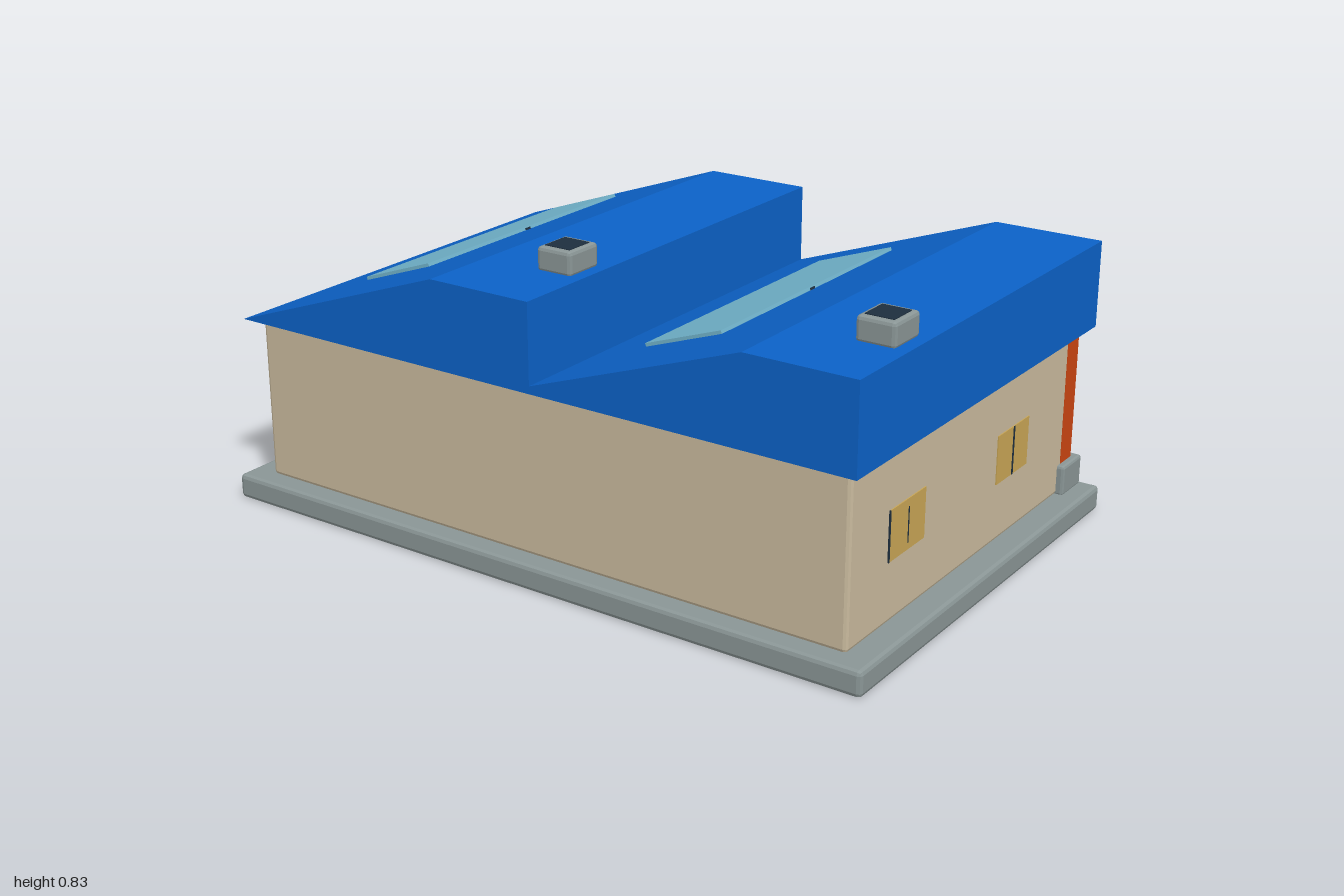
import * as THREE from 'three';
import { RoundedBoxGeometry } from 'three/addons/geometries/RoundedBoxGeometry.js';

const mat = (name, color) => {
  const m = new THREE.MeshStandardMaterial({ color });
  m.name = name;
  return m;
};

export function createModel() {
  const group = new THREE.Group();
  const blue = mat('roof blue', 0x0c62c8);
  const beige = mat('wall beige', 0xcabb9e);
  const grey = mat('concrete grey', 0x8a9696);
  const dark = mat('dark navy', 0x1e2f3f);
  const orange = mat('column orange', 0xcc4612);
  const gold = mat('warm gold', 0xc9a655);
  const glass = mat('skylight glass', 0x72b4cc);

  // Box given by its limits; bevel > 0 gives chamfered edges with flat faces
  function box(name, material, [x0, x1], [y0, y1], [z0, z1], bevel = 0) {
    const size = [x1 - x0, y1 - y0, z1 - z0];
    const geo = bevel ? new RoundedBoxGeometry(...size, 1, bevel) : new THREE.BoxGeometry(...size);
    if (bevel) geo.computeVertexNormals();
    const mesh = new THREE.Mesh(geo, material);
    mesh.name = name;
    mesh.position.set((x0 + x1) / 2, (y0 + y1) / 2, (z0 + z1) / 2);
    group.add(mesh);
    return mesh;
  }
  const around = (c, w) => [c - w / 2, c + w / 2];

  // Foundation and walls
  box('foundation', grey, [-1, 1], [0, 0.07], [-0.648, 0.66], 0.012);
  box('threshold', grey, [-0.51, 0.51], [0.03, 0.065], [-0.66, -0.6], 0.006);
  box('walls', beige, [-0.925, 0.925], [0.068, 0.535], [-0.58, 0.6], 0.01);

  // Sawtooth roof bays, each with a skylight and a vent
  const rise = 0.24, run = 0.68, bayWidth = 0.99, eave = 0.53;
  for (const x0 of [-0.96, -0.03]) {
    const profile = new THREE.Shape([
      new THREE.Vector2(x0, eave),
      new THREE.Vector2(x0 + bayWidth, eave),
      new THREE.Vector2(x0 + bayWidth, eave + rise),
      new THREE.Vector2(x0 + run, eave + rise),
    ]);
    const bay = new THREE.Mesh(
      new THREE.ExtrudeGeometry(profile, { depth: 1.272, bevelEnabled: false }), blue);
    bay.name = 'roofBay';
    bay.position.z = -0.633;
    group.add(bay);

    const cx = x0 + 0.367;
    const tilt = Math.atan2(rise, run);
    const pane = box('skylight', glass, around(cx, 0.238), around(0.674, 0.009), [-0.412, 0.418]);
    pane.rotation.z = tilt;
    const bar = box('skylightBar', dark, around(cx + 0.002, 0.24), around(0.673, 0.006), around(0, 0.02));
    bar.rotation.z = tilt;

    const vx = x0 + 0.902;
    box('vent', grey, around(vx, 0.107), [0.765, 0.832], [0.303, 0.422], 0.01);
    box('ventOpening', dark, around(vx, 0.078), [0.829, 0.834], [0.322, 0.404]);
  }

  // Windows on the +x wall
  for (const z of [0.33, -0.23]) {
    box('window', gold, [0.922, 0.928], [0.232, 0.367], around(z, 0.175));
  }
  box('windowBar', dark, [0.923, 0.929], [0.232, 0.367], around(0.416, 0.004));
  box('windowBar', dark, [0.923, 0.929], [0.25, 0.346], around(0.326, 0.004));
  box('windowBar', dark, [0.923, 0.929], [0.232, 0.367], around(-0.231, 0.008));

  // Rear columns, footings and bollards, mirrored
  for (const s of [-1, 1]) {
    box('footing', grey, around(s * 0.89, 0.112), [0.065, 0.153], [-0.637, -0.523], 0.008);
    box('column', orange, around(s * 0.893, 0.066), [0.15, 0.525], [-0.606, -0.54]);
    box('columnCap', orange, around(s * 0.888, 0.086), [0.52, 0.531], [-0.606, -0.523]);
    box('bollard', gold, around(s * 0.53, 0.055), [0.065, 0.202], [-0.638, -0.585], 0.006);
    box('doorJamb', grey, around(s * 0.489, 0.044), [0.065, 0.457], [-0.614, -0.57], 0.006);
    box('lampBracket', blue, around(s * 0.113, 0.024), [0.455, 0.532], [-0.62, -0.57]);
  }

  // Rear loading door and the lamp above it
  box('doorLintel', grey, [-0.511, 0.511], [0.415, 0.457], [-0.614, -0.57], 0.006);
  box('door', dark, [-0.47, 0.47], [0.068, 0.42], [-0.592, -0.57]);
  box('lampHood', blue, [-0.125, 0.125], [0.512, 0.532], [-0.62, -0.57]);
  box('lamp', gold, [-0.095, 0.095], [0.464, 0.512], [-0.603, -0.57]);

  return group;
}
